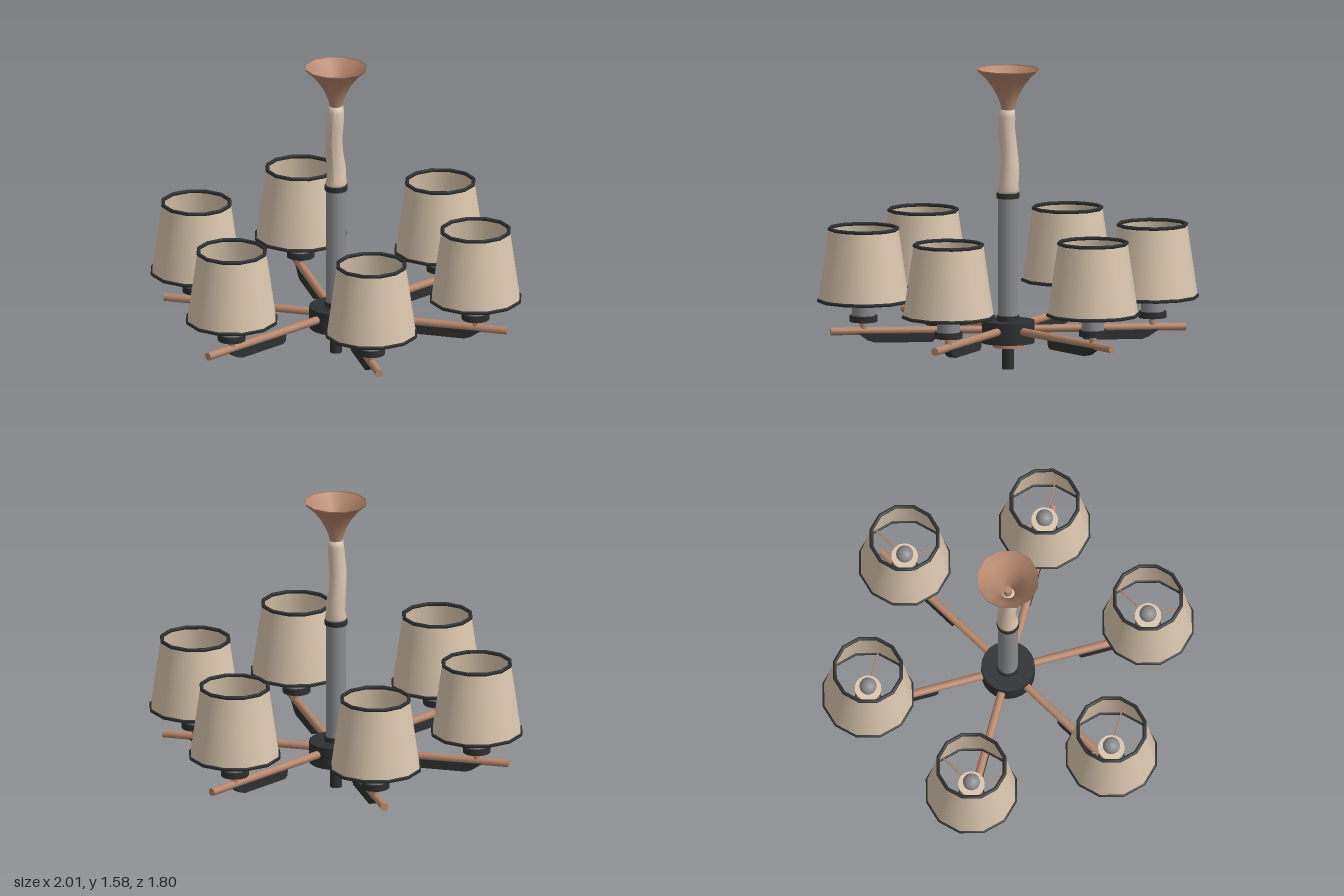
import * as THREE from 'three';

const mat = (name, color, side = THREE.FrontSide) => {
  const m = new THREE.MeshStandardMaterial({ color, side });
  m.name = name;
  return m;
};

export function createModel() {
  const copper = mat('copper', 0xb5866b, THREE.DoubleSide);
  const linen = mat('linen', 0xdac6ae, THREE.DoubleSide);
  const black = mat('black metal', 0x2e2f30);
  const steel = mat('grey metal', 0x8b8b8e);

  const model = new THREE.Group();
  model.name = 'chandelier';

  const add = (parent, name, geometry, material) => {
    const mesh = new THREE.Mesh(geometry, material);
    mesh.name = name;
    parent.add(mesh);
    return mesh;
  };
  // Upright cylinder between two heights
  const post = (parent, name, material, r, y0, y1, x = 0, sides = 16) => {
    const mesh = add(parent, name, new THREE.CylinderGeometry(r, r, y1 - y0, sides), material);
    mesh.position.set(x, (y0 + y1) / 2, 0);
    return mesh;
  };
  const lathe = (points, sides) =>
    new THREE.LatheGeometry(points.map(([r, y]) => new THREE.Vector2(r, y)), sides);

  // Central column
  post(model, 'finial', black, 0.032, 0, 0.12);
  post(model, 'lowerDisc', copper, 0.08, 0.115, 0.147, 0, 24);
  post(model, 'hub', black, 0.14, 0.14, 0.255, 0, 24);
  post(model, 'lowerCollar', black, 0.06, 0.25, 0.282);
  post(model, 'column', steel, 0.052, 0.28, 0.905);
  post(model, 'upperCollar', black, 0.06, 0.9, 0.927);

  // Fabric chain sleeve: a lathe whose rings wander sideways
  const sleeve = lathe([[0, 0.925], [0.052, 0.925], [0.057, 0.94], [0.051, 0.97], [0.05, 1.03],
    [0.046, 1.1], [0.045, 1.18], [0.045, 1.26], [0.043, 1.33], [0.038, 1.365], [0, 1.372]], 16);
  const p = sleeve.attributes.position;
  for (let i = 0; i < p.count; i++) {
    const t = THREE.MathUtils.clamp((p.getY(i) - 0.93) / 0.44, 0, 1);
    p.setX(i, p.getX(i) - 0.012 * Math.sin(t * Math.PI * 1.6 - 0.9) * Math.sin(t * Math.PI));
    p.setZ(i, p.getZ(i) - 0.009 * Math.sin(t * Math.PI * 2));
  }
  sleeve.computeVertexNormals();
  add(model, 'chainSleeve', sleeve, linen);

  // Flared ceiling canopy, open at the top
  add(model, 'canopy', lathe([[0.034, 1.365], [0.041, 1.4], [0.057, 1.44], [0.082, 1.485],
    [0.117, 1.53], [0.163, 1.572], [0.163, 1.58]], 12), copper);
  post(model, 'canopyStem', copper, 0.02, 1.36, 1.42);

  // Six arms, each with its own lamp
  const R = 0.757;
  for (let i = 0; i < 6; i++) {
    const arm = new THREE.Group();
    arm.name = 'arm' + (i + 1);
    arm.rotation.y = (i * Math.PI) / 3;
    model.add(arm);

    const rod = add(arm, 'armRod', new THREE.CylinderGeometry(0.021, 0.021, 0.83, 12), copper);
    rod.rotation.z = Math.PI / 2;
    rod.position.set(0.515, 0.21, 0);

    // Wire cover beneath the rod, slanting up at the outer end
    const side = new THREE.Shape();
    side.moveTo(0.38, 0.195);
    side.lineTo(0.383, 0.165);
    side.lineTo(0.4, 0.15);
    side.lineTo(0.7, 0.15);
    side.lineTo(0.735, 0.162);
    side.lineTo(0.79, 0.2);
    side.closePath();
    const cover = new THREE.ExtrudeGeometry(side, { depth: 0.04, bevelEnabled: false });
    cover.translate(0, 0, -0.02);
    add(arm, 'wireCover', cover, black);

    // Lamp holder and bulb
    post(arm, 'lampStem', copper, 0.018, 0.21, 0.265, R, 12);
    post(arm, 'lampBase', black, 0.073, 0.26, 0.293, R);
    post(arm, 'socket', steel, 0.06, 0.29, 0.46, R);
    post(arm, 'socketRing', linen, 0.07, 0.46, 0.475, R);
    const bulb = add(arm, 'bulb', new THREE.SphereGeometry(0.045, 16, 12), steel);
    bulb.position.set(R, 0.505, 0);

    // Shade with dark trims
    const shade = add(arm, 'shade', new THREE.CylinderGeometry(0.182, 0.238, 0.385, 12, 1, true), linen);
    shade.position.set(R, 0.563, 0);
    shade.rotation.y = Math.PI / 2;
    for (const [name, r, y] of [['topTrim', 0.179, 0.75], ['bottomTrim', 0.236, 0.374]]) {
      const trim = add(arm, name, new THREE.TorusGeometry(r, 0.01, 6, 12), black);
      trim.rotation.x = Math.PI / 2;
      trim.position.set(R, y, 0);
    }

    // Three thin spokes holding the shade
    for (let k = 0; k < 3; k++) {
      const spoke = new THREE.CylinderGeometry(0.004, 0.004, 0.15, 6);
      spoke.rotateZ(Math.PI / 2);
      spoke.translate(0.137, 0, 0);
      const mesh = add(arm, 'shadeSpoke', spoke, copper);
      mesh.rotation.y = (k * Math.PI * 2) / 3;
      mesh.position.set(R, 0.467, 0);
    }
  }
  return model;
}
